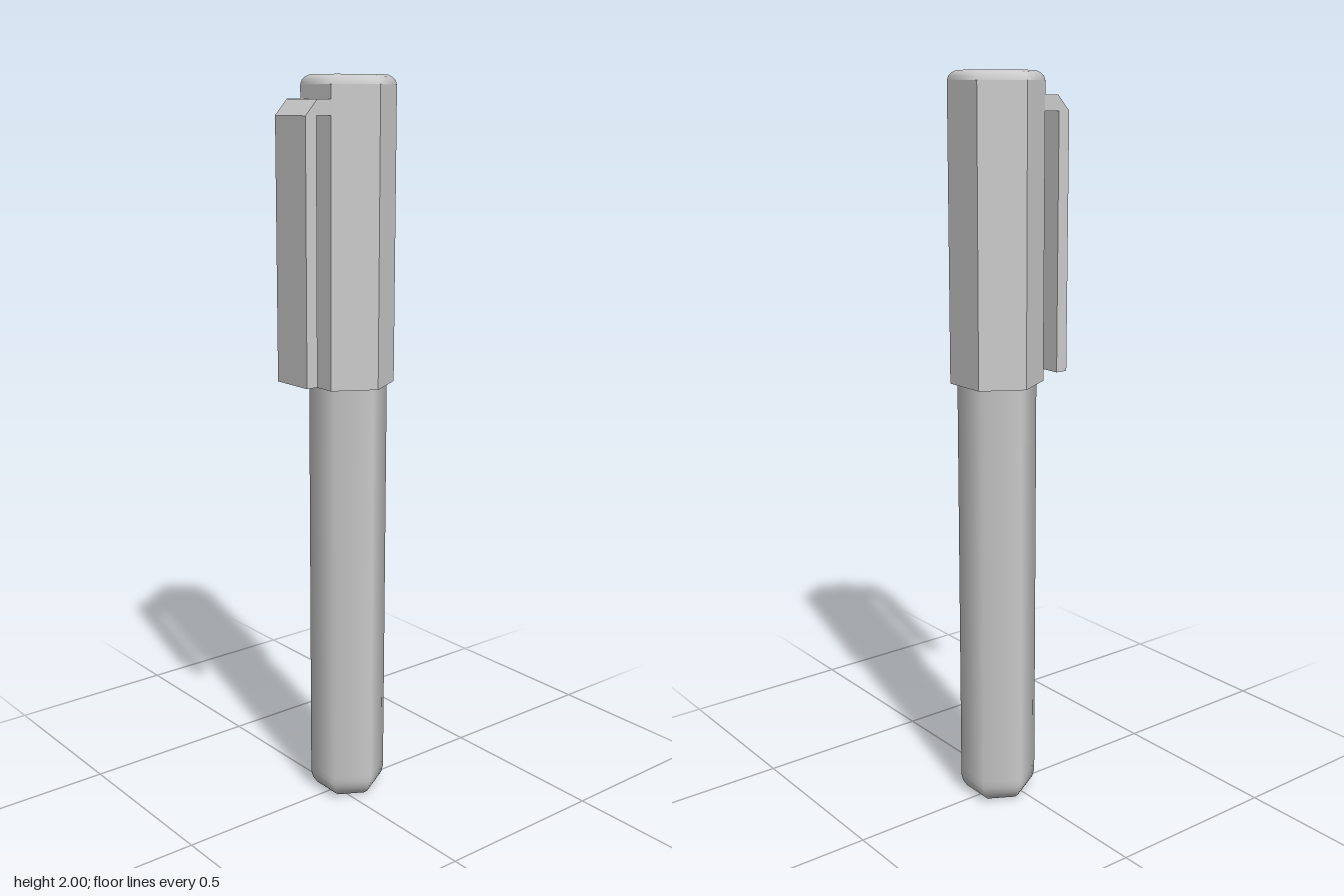
import * as THREE from 'three';

const AXIS_Z = -0.04; // the barrel sits behind centre because the clip sticks out in front

// Six-sided turned band; corners point to +x and -x
function hexBand(name, profile, flatShading) {
  const points = profile.map(([r, y]) => new THREE.Vector2(r, y));
  const geometry = new THREE.LatheGeometry(points, 6, Math.PI / 2);
  const material = new THREE.MeshStandardMaterial({ color: 0xcccccc, flatShading });
  const mesh = new THREE.Mesh(geometry, material);
  mesh.name = name;
  mesh.position.z = AXIS_Z;
  return mesh;
}

export function createModel() {
  const pen = new THREE.Group();
  pen.name = 'pen';

  // Barrel: softly shaded sides with a rounded foot and a flat end
  const barrel = new THREE.Group();
  barrel.name = 'barrel';
  barrel.add(
    hexBand('barrelEnd', [[0, 0], [0.078, 0.004]], true),
    hexBand('barrelSides', [[0.078, 0.004], [0.09, 0.014], [0.101, 0.03], [0.106, 0.05], [0.106, 0.07], [0.106, 1.25]], false)
  );

  // Cap: crisp sides with an inward rim below, softly bevelled crown above
  const cap = new THREE.Group();
  cap.name = 'cap';
  cap.add(
    hexBand('capSides', [[0.1, 1.2], [0.125, 1.2], [0.125, 1.975]], true),
    hexBand('capCrown', [[0.125, 1.975], [0.121, 1.987], [0.112, 1.995], [0.1, 2], [0, 2]], false)
  );

  // Clip: side outline (z, y) extruded across the width
  const outline = [[0.05, 1.9], [0.114, 1.9], [0.114, 1.217], [0.148, 1.217], [0.148, 1.9], [0.111, 1.94], [0.05, 1.94]];
  const width = 0.126;
  const clipGeometry = new THREE.ExtrudeGeometry(
    new THREE.Shape(outline.map(([z, y]) => new THREE.Vector2(-z, y))),
    { depth: width, bevelEnabled: false }
  );
  clipGeometry.translate(0, 0, -width / 2).rotateY(Math.PI / 2);
  const clip = new THREE.Mesh(clipGeometry, new THREE.MeshStandardMaterial({ color: 0xcccccc }));
  clip.name = 'clip';

  pen.add(barrel, cap, clip);
  return pen;
}
